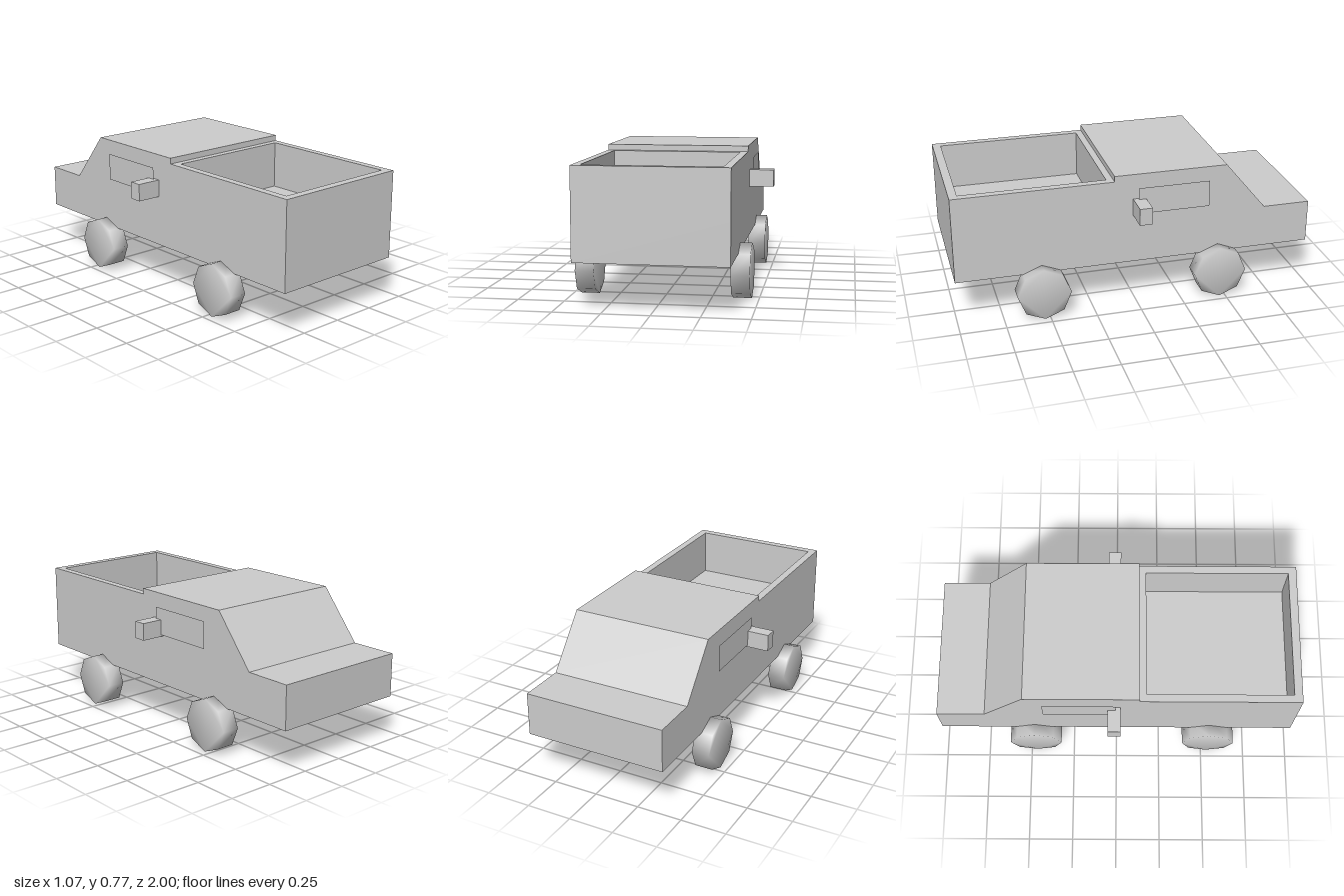
import * as THREE from 'three';
import { mergeVertices } from 'three/addons/utils/BufferGeometryUtils.js';

const HALF_W = 0.397;
const FLOOR = 0.48; // cargo bed floor height
const RIM = 0.74; // cargo bed rim height

// Rectangle outline; plan coordinates are (x, -z)
function rectangle(Type, x, zMin, zMax) {
  return new Type([[-x, -zMax], [x, -zMax], [x, -zMin], [-x, -zMin]].map(p => new THREE.Vector2(...p)));
}

export function createModel() {
  const truck = new THREE.Group();
  truck.name = 'pickupTruck';
  const grey = new THREE.MeshStandardMaterial({ color: 0xcccccc });
  const flat = new THREE.MeshStandardMaterial({ color: 0xcccccc, flatShading: true });
  const glass = new THREE.MeshStandardMaterial({ color: 0xcccccc, side: THREE.DoubleSide });

  const add = (name, geometry, material, x = 0, y = 0, z = 0) => {
    const mesh = new THREE.Mesh(geometry, material);
    mesh.name = name;
    mesh.position.set(x, y, z);
    truck.add(mesh);
    return mesh;
  };

  // Cab, hood and bed floor: side profile (z, y) extruded across the width
  const profile = [
    [1, 0.255], [1, FLOOR], [0.125, FLOOR], [0.125, 0.772],
    [-0.505, 0.772], [-0.735, 0.495], [-1, 0.495], [-1, 0.255],
  ].map(p => new THREE.Vector2(...p));
  const body = new THREE.ExtrudeGeometry(new THREE.Shape(profile), { depth: HALF_W * 2, bevelEnabled: false });
  body.rotateY(-Math.PI / 2).translate(HALF_W, 0, 0);
  add('body', body, flat);

  // Cargo bed walls around an open rectangle
  const plan = rectangle(THREE.Shape, HALF_W, 0.125, 1);
  plan.holes.push(rectangle(THREE.Path, 0.355, 0.162, 0.955));
  const walls = new THREE.ExtrudeGeometry(plan, { depth: RIM - FLOOR, bevelEnabled: false });
  walls.rotateX(-Math.PI / 2);
  add('bedWalls', walls, flat, 0, FLOOR, 0);

  // Eight-sided wheel with normals blended over its edges, built from a short prism
  let wheel = new THREE.ExtrudeGeometry(
    new THREE.Shape(Array.from({ length: 8 }, (_, i) => {
      const a = (i * Math.PI) / 4;
      return new THREE.Vector2(Math.cos(a) * 0.148, Math.sin(a) * 0.148);
    })),
    { depth: 0.1, bevelEnabled: false },
  );
  wheel.translate(0, 0, -0.05).rotateY(Math.PI / 2);
  wheel.deleteAttribute('uv');
  wheel.deleteAttribute('normal');
  wheel = mergeVertices(wheel);
  wheel.computeVertexNormals();

  const mirrorBox = new THREE.BoxGeometry(0.14, 0.095, 0.07);
  const windowPane = new THREE.PlaneGeometry(0.4, 0.15);

  for (const [label, s] of [['left', 1], ['right', -1]]) {
    add(label + 'BedEndWheel', wheel, grey, s * 0.411, 0.15, 0.53);
    add(label + 'HoodEndWheel', wheel, grey, s * 0.411, 0.15, -0.467);
    add(label + 'WingMirror', mirrorBox, flat, s * 0.463, 0.582, -0.012);
    add(label + 'Window', windowPane, glass, s * 0.412, 0.62, -0.205).rotation.y = (s * Math.PI) / 2;
  }
  return truck;
}
